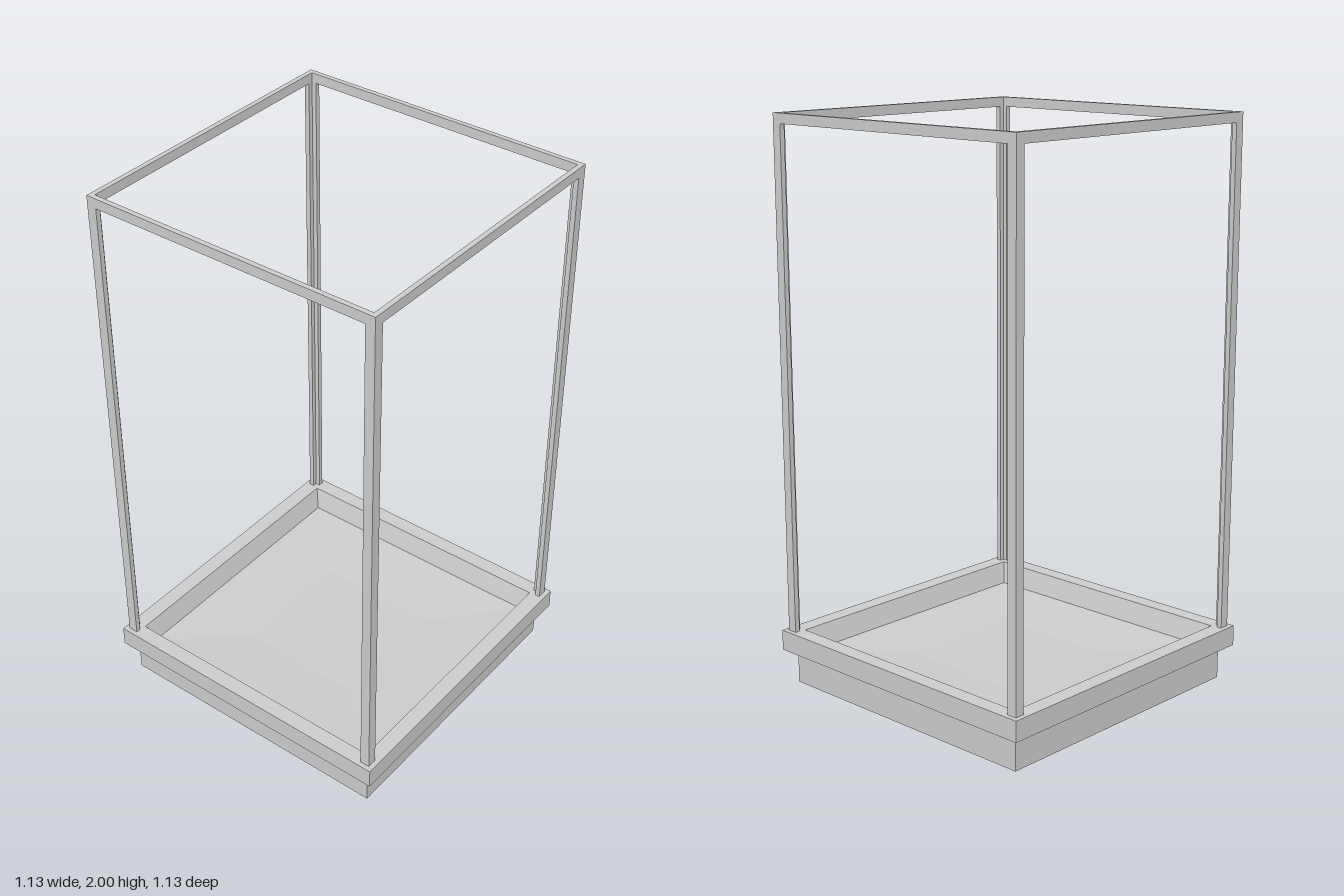
import * as THREE from 'three';

const OUT = 0.548, THICK = 0.018, LEG = 0.035, RIM_Y = 0.195;

export function createModel() {
  const group = new THREE.Group();
  const material = new THREE.MeshStandardMaterial({ color: 0xcccccc, flatShading: true, side: THREE.DoubleSide });
  const add = (name, geometry) => {
    const mesh = new THREE.Mesh(geometry, material);
    mesh.name = name;
    group.add(mesh);
    return mesh;
  };

  // Square tray: skirt, collar, rim, sloped wall and shallow dish (half width, height)
  const profile = [
    [0.527, 0], [0.527, 0.115], [0.565, 0.122], [0.565, RIM_Y],
    [0.508, RIM_Y], [0.485, 0.12], [0.23, 0.1], [0, 0.1],
  ].map(([r, y]) => new THREE.Vector2(r * Math.SQRT2, y));
  add('trayBase', new THREE.LatheGeometry(profile, 4, Math.PI / 4));

  // Square ring around the top
  const square = (r) => [[-r, -r], [r, -r], [r, r], [-r, r]].map(([x, y]) => new THREE.Vector2(x, y));
  const ringShape = new THREE.Shape(square(OUT));
  ringShape.holes.push(new THREE.Path(square(OUT - THICK)));
  const ring = new THREE.ExtrudeGeometry(ringShape, { depth: LEG, bevelEnabled: false });
  ring.rotateX(-Math.PI / 2);
  add('topFrame', ring).position.y = 2 - LEG;

  // Angle-section posts at the four corners
  const a = OUT, b = OUT - THICK, c = OUT - LEG;
  const angle = new THREE.Shape(
    [[a, a], [c, a], [c, b], [b, b], [b, c], [a, c]].map(([x, y]) => new THREE.Vector2(x, y)));
  const post = new THREE.ExtrudeGeometry(angle, { depth: 2 - LEG - RIM_Y, bevelEnabled: false });
  post.rotateX(-Math.PI / 2);
  for (let i = 0; i < 4; i++) {
    const mesh = add('cornerPost' + (i + 1), post);
    mesh.position.y = RIM_Y;
    mesh.rotation.y = i * Math.PI / 2;
  }

  return group;
}
